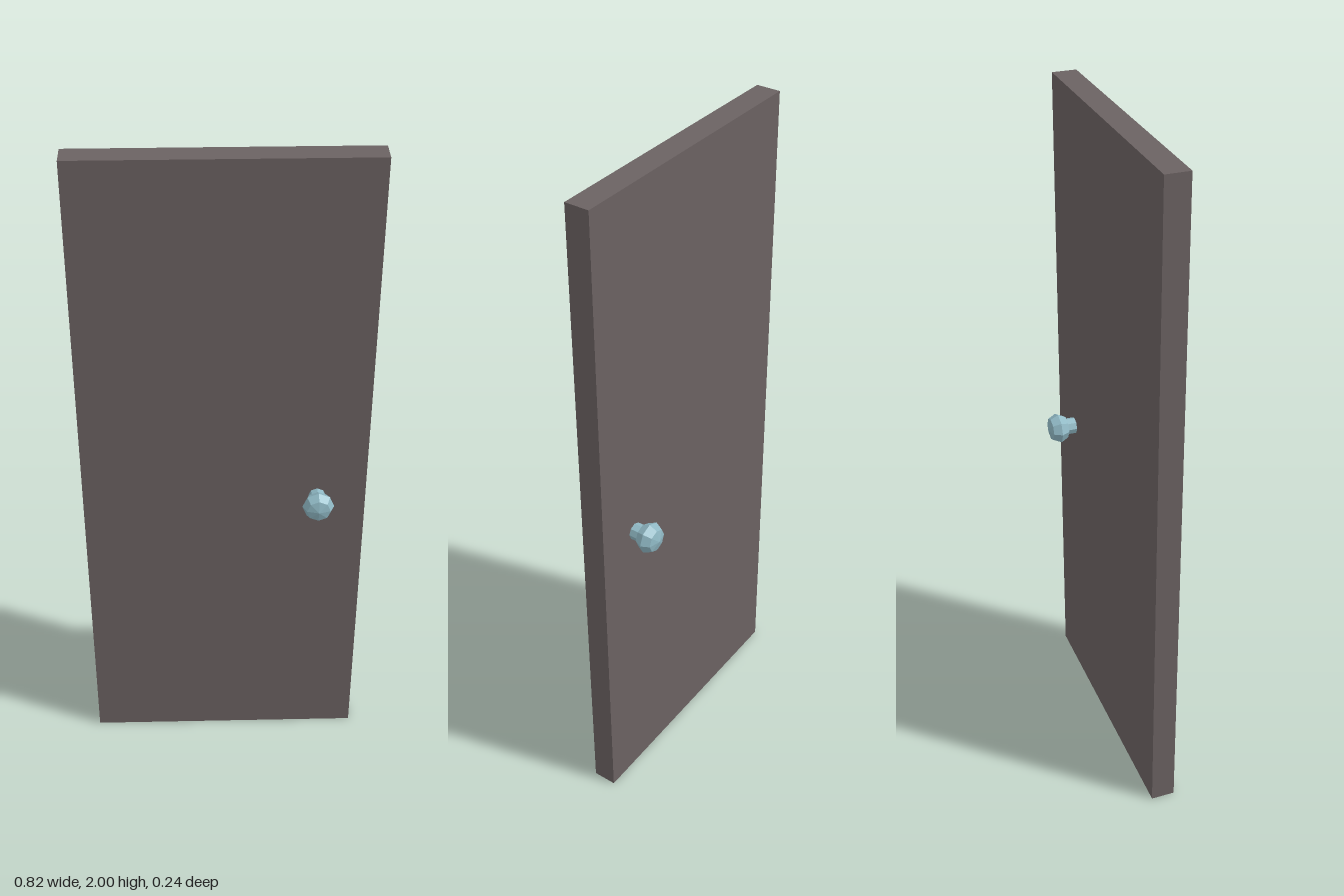
import * as THREE from 'three';

const doorGrey = new THREE.MeshStandardMaterial({ name: 'door grey', color: 0x6b6262, flatShading: true });
const knobBlue = new THREE.MeshStandardMaterial({ name: 'knob pale blue', color: 0x8fb8c4, flatShading: true });

function addPart(parent, name, geometry, material) {
  const mesh = new THREE.Mesh(geometry, material);
  mesh.name = name;
  parent.add(mesh);
  return mesh;
}

// Handle with its axis along +z: octagonal stem and faceted knob
function makeHandle(name) {
  const handle = new THREE.Group();
  handle.name = name;

  const stem = addPart(handle, 'stem', new THREE.CylinderGeometry(0.025, 0.025, 0.05, 8), knobBlue);
  stem.rotation.x = Math.PI / 2;
  stem.position.z = 0.05;

  const profile = [[0, 0.056], [0.034, 0.064], [0.046, 0.088], [0.034, 0.112], [0, 0.121]]
    .map(([r, h]) => new THREE.Vector2(r, h));
  const knob = addPart(handle, 'knob', new THREE.LatheGeometry(profile, 8), knobBlue);
  knob.rotation.x = Math.PI / 2;
  return handle;
}

export function createModel() {
  const door = new THREE.Group();
  door.name = 'door';

  // Slab
  const panel = addPart(door, 'doorPanel', new THREE.BoxGeometry(0.823, 2, 0.071), doorGrey);
  panel.position.y = 1;

  // One handle on each face
  for (const side of [1, -1]) {
    const handle = makeHandle(side > 0 ? 'frontHandle' : 'backHandle');
    handle.position.set(0.27, 0.945, 0);
    if (side < 0) handle.rotation.y = Math.PI;
    door.add(handle);
  }
  return door;
}
